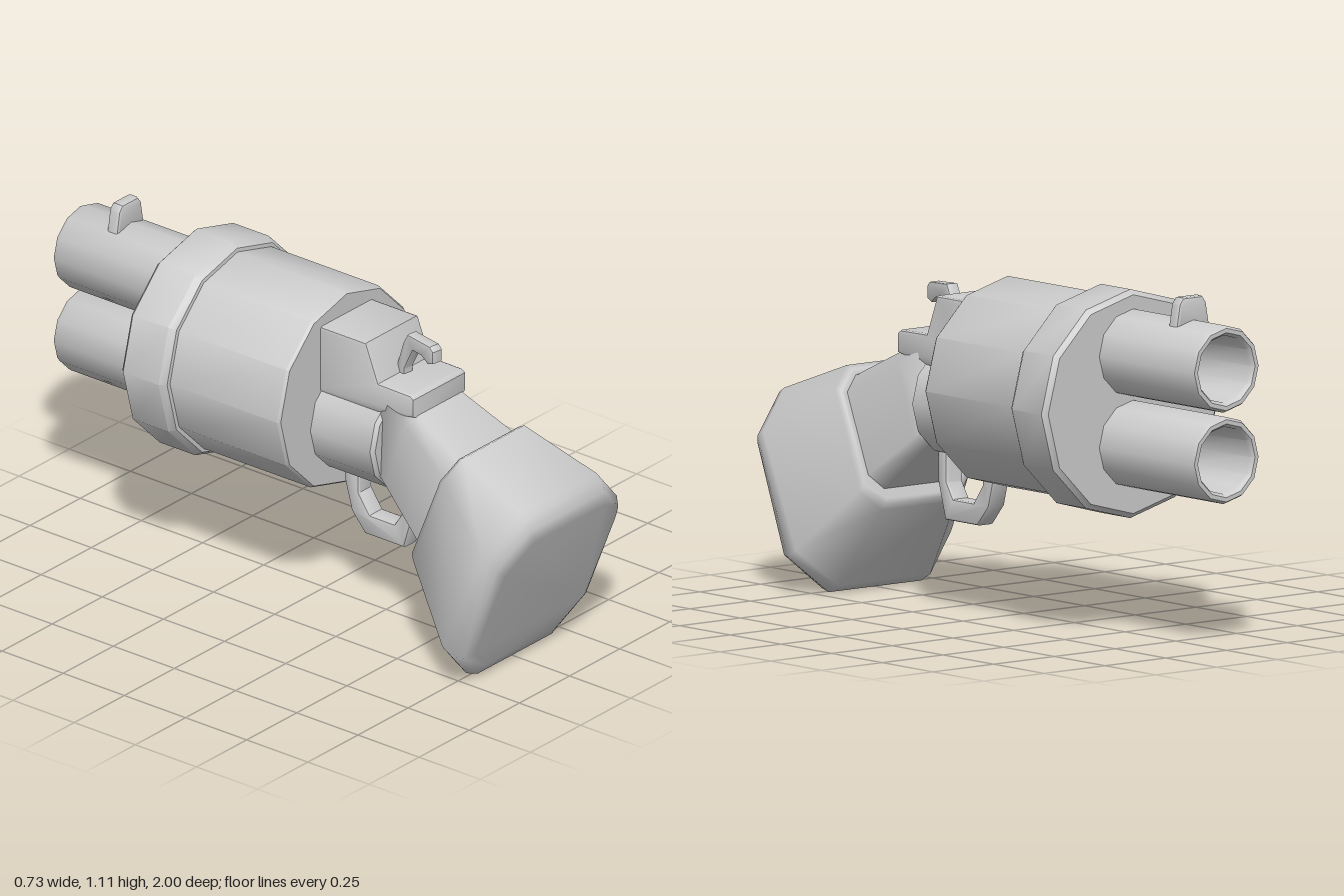
import * as THREE from 'three';
import { toCreasedNormals } from 'three/addons/utils/BufferGeometryUtils.js';

const material = new THREE.MeshStandardMaterial({ color: 0xcccccc });

function add(group, name, geometry) {
  const mesh = new THREE.Mesh(geometry, material);
  mesh.name = name;
  group.add(mesh);
  return mesh;
}

// Twelve-sided turned part along z; profile is [radius, z], running from rear to muzzle
function turned(profile, y) {
  const pts = profile.map(([r, z]) => new THREE.Vector2(r, -z));
  const g = new THREE.LatheGeometry(pts, 12).rotateX(-Math.PI / 2).translate(0, y, 0);
  return toCreasedNormals(g, 0.7);
}

// Side outline of [z, y] points, extruded across x with a soft edge
function slab(outline, width, bevel) {
  const shape = new THREE.Shape(outline.map(([z, y]) => new THREE.Vector2(z, y)));
  const g = new THREE.ExtrudeGeometry(shape, {
    depth: width - 2 * bevel, bevelThickness: bevel, bevelSize: bevel,
    bevelOffset: -bevel, bevelSegments: 2,
  });
  g.translate(0, 0, bevel - width / 2).rotateY(-Math.PI / 2);
  return toCreasedNormals(g, 0.6);
}

// Loft of chamfered rectangles; each section has top and bottom [z, y], half width, chamfer
function loft(sections) {
  const pos = [], index = [], n = 8;
  for (const { top, bottom, w, c } of sections) {
    const h = Math.hypot(top[0] - bottom[0], top[1] - bottom[1]);
    const t = c / h;
    const ring = [[w, t], [w, 1 - t], [w - c, 1], [c - w, 1], [-w, 1 - t], [-w, t], [c - w, 0], [w - c, 0]];
    for (const [x, v] of ring) {
      pos.push(x, THREE.MathUtils.lerp(bottom[1], top[1], v), THREE.MathUtils.lerp(bottom[0], top[0], v));
    }
  }
  for (let i = 0; i < sections.length - 1; i++) {
    for (let j = 0; j < n; j++) {
      const a = i * n + j, b = i * n + (j + 1) % n;
      index.push(a, b, b + n, a, b + n, a + n);
    }
  }
  const last = (sections.length - 1) * n;
  for (let j = 1; j < n - 1; j++) {
    index.push(0, j + 1, j, last, last + j, last + j + 1);
  }
  const g = new THREE.BufferGeometry();
  g.setAttribute('position', new THREE.Float32BufferAttribute(pos, 3));
  g.setIndex(index);
  g.computeVertexNormals();
  return g;
}

export function createModel() {
  const model = new THREE.Group();
  model.name = 'doubleBarrelGun';

  // Drum with its thicker front collar
  add(model, 'drum', turned([
    [0, 0.09], [0.33, 0.09], [0.337, 0.08], [0.337, -0.36], [0, -0.36],
  ], 0.737));
  add(model, 'drumCollar', turned([
    [0.32, -0.355], [0.35, -0.358], [0.366, -0.38], [0.366, -0.525], [0.35, -0.54], [0, -0.54],
  ], 0.737));

  // Two stacked hollow barrels
  for (const [name, y] of [['upperBarrel', 0.902], ['lowerBarrel', 0.61]]) {
    add(model, name, turned([
      [0.14, -0.5], [0.14, -0.985], [0.132, -1], [0.118, -1], [0.108, -0.985], [0.1, -0.7], [0, -0.7],
    ], y));
  }

  // Front sight: a thin tapered fin on the upper barrel
  const fin = new THREE.Shape([
    [-0.068, 1.02], [0.068, 1.02], [0.055, 1.095], [0.04, 1.115], [-0.04, 1.115], [-0.055, 1.095],
  ].map(([x, y]) => new THREE.Vector2(x, y)));
  const finGeometry = new THREE.ExtrudeGeometry(fin, {
    depth: 0.024, bevelThickness: 0.01, bevelSize: 0.01, bevelOffset: -0.01, bevelSegments: 2,
  }).translate(0, 0, -0.827);
  add(model, 'frontSight', toCreasedNormals(finGeometry, 0.6));

  // Round lower body and stepped receiver behind the drum
  add(model, 'lowerBody', turned([
    [0, 0.345], [0.17, 0.345], [0.182, 0.333], [0.182, 0.05],
  ], 0.652));
  add(model, 'receiver', slab([
    [0.05, 0.77], [0.32, 0.77], [0.47, 0.795], [0.47, 0.86], [0.455, 0.87],
    [0.325, 0.872], [0.275, 1], [0.05, 1],
  ], 0.265, 0.012));

  // Hooked hammer, turned slightly off the centre line
  const hammer = add(model, 'hammer', slab([
    [0.3, 0.86], [0.345, 0.86], [0.345, 0.89], [0.385, 0.968], [0.425, 0.965], [0.455, 0.945],
    [0.48, 0.955], [0.48, 0.995], [0.465, 1.01], [0.36, 1.016], [0.34, 0.98],
  ].map(([z, y]) => [z - 0.39, y]), 0.042, 0.006));
  hammer.position.set(-0.01, 0, 0.39);
  hammer.rotation.y = -0.14;

  // Trigger guard loop
  add(model, 'triggerGuard', slab([
    [0.385, 0.52], [0.385, 0.385], [0.35, 0.265], [0.19, 0.265], [0.135, 0.33], [0.105, 0.44], [0.105, 0.52],
    [0.165, 0.52], [0.165, 0.4], [0.21, 0.335], [0.31, 0.335], [0.342, 0.385], [0.342, 0.52],
  ], 0.07, 0.01));

  // Neck flaring from the receiver into the stock
  add(model, 'neck', loft([
    { top: [0.36, 0.85], bottom: [0.27, 0.57], w: 0.13, c: 0.035 },
    { top: [0.46, 0.803], bottom: [0.355, 0.5], w: 0.147, c: 0.038 },
    { top: [0.665, 0.7], bottom: [0.515, 0.36], w: 0.19, c: 0.05 },
    { top: [0.7, 0.68], bottom: [0.55, 0.33], w: 0.195, c: 0.05 },
  ]));

  // Shoulder stock with rounded rim and butt
  add(model, 'stock', loft([
    { top: [0.665, 0.705], bottom: [0.508, 0.325], w: 0.2, c: 0.06 },
    { top: [0.67, 0.722], bottom: [0.506, 0.31], w: 0.213, c: 0.065 },
    { top: [0.69, 0.732], bottom: [0.518, 0.288], w: 0.223, c: 0.07 },
    { top: [0.955, 0.632], bottom: [0.69, 0.03], w: 0.32, c: 0.13 },
    { top: [0.978, 0.616], bottom: [0.735, 0.004], w: 0.321, c: 0.13 },
    { top: [0.992, 0.58], bottom: [0.775, 0.012], w: 0.305, c: 0.12 },
    { top: [1, 0.54], bottom: [0.8, 0.045], w: 0.275, c: 0.1 },
  ]));

  return model;
}
